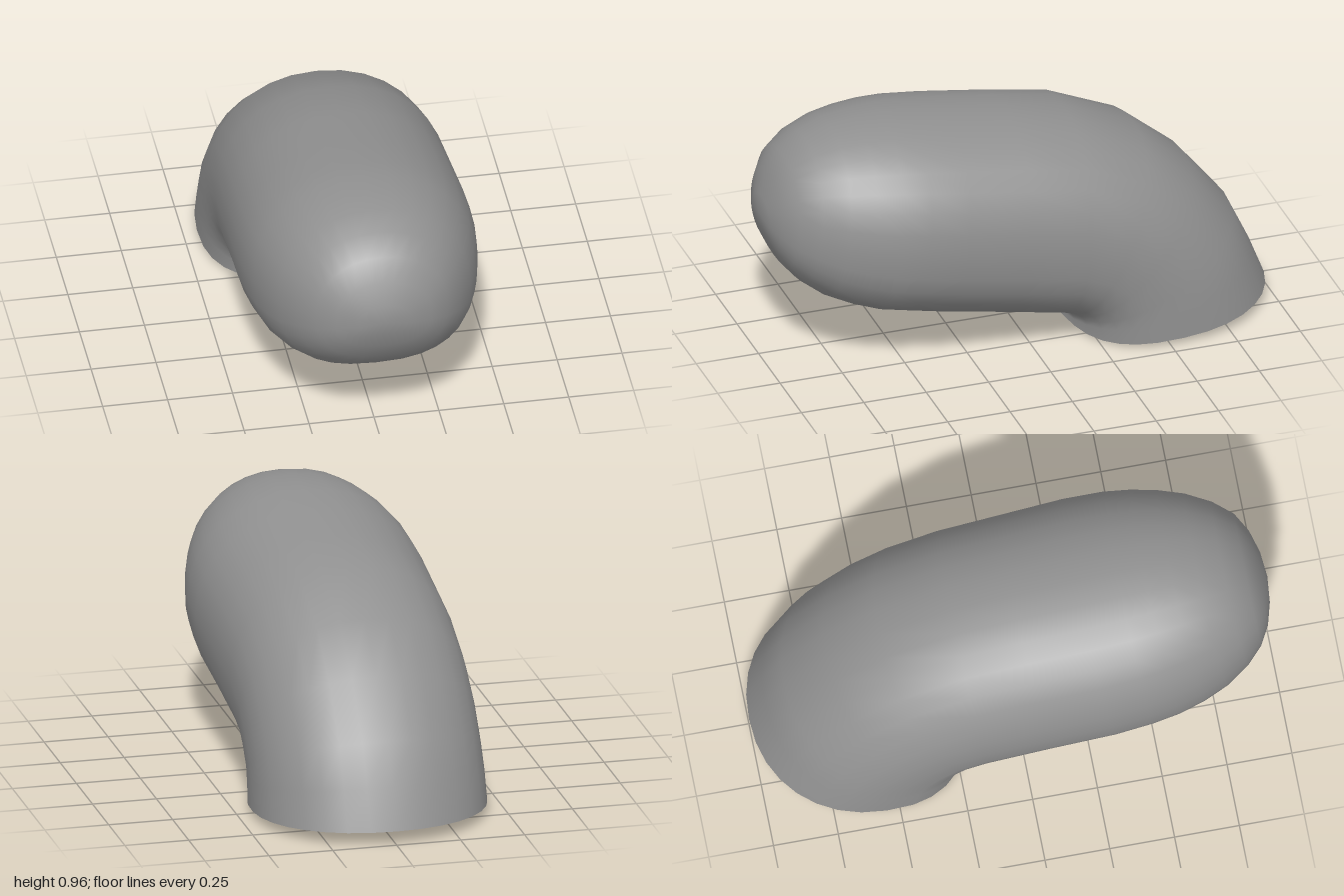
import * as THREE from 'three';

const SIDES = 32;
const GREY = 0x909090;

// Cross-sections from the open base to the tip: [topZ, topY, bottomZ, bottomY, halfWidth]
const SECTIONS = [
  [-1.0, 0.055, -0.17, -0.002, 0.45],
  [-0.94, 0.21, -0.172, 0.04, 0.448],
  [-0.865, 0.37, -0.17, 0.05, 0.445],
  [-0.7, 0.575, -0.166, 0.056, 0.445],
  [-0.5, 0.74, -0.16, 0.06, 0.444],
  [-0.22, 0.86, -0.14, 0.066, 0.446],
  [0.02, 0.9, 0.11, 0.116, 0.45],
  [0.26, 0.933, 0.36, 0.164, 0.456],
  [0.42, 0.952, 0.5, 0.192, 0.448],
  [0.52, 0.956, 0.61, 0.212, 0.432],
  [0.62, 0.951, 0.71, 0.246, 0.406],
  [0.72, 0.937, 0.8, 0.288, 0.37],
  [0.82, 0.903, 0.885, 0.352, 0.316],
  [0.905, 0.845, 0.94, 0.416, 0.255],
  [0.955, 0.76, 0.975, 0.487, 0.185],
  [0.988, 0.675, 0.993, 0.55, 0.1],
];
const TIP = [0, 0.61, 1];

const signedPow = (v, e) => Math.sign(v) * Math.pow(Math.abs(v), e);

// Skin the sections into one smooth tube with a closed tip
function bentTube() {
  const pos = [], index = [];
  SECTIONS.forEach(([tz, ty, bz, by, w], r) => {
    for (let s = 0; s < SIDES; s++) {
      const a = (s / SIDES) * Math.PI * 2;
      // the lower half is squarer, and the widest point sits below the middle
      const e = Math.cos(a) < 0 ? 0.8 : 0.93;
      const c = signedPow(Math.cos(a), e);
      const t = 0.46 + c * (c < 0 ? 0.46 : 0.54);
      // the base rim lifts a little at the front
      const lift = r === 0 ? 0.03 * Math.pow(Math.max(0, -c), 8) : 0;
      pos.push(w * signedPow(Math.sin(a), e), by + t * (ty - by) + lift, bz + t * (tz - bz));
    }
  });
  pos.push(...TIP);
  const last = SECTIONS.length - 1, tip = SECTIONS.length * SIDES;
  for (let r = 0; r <= last; r++) {
    for (let s = 0; s < SIDES; s++) {
      const a = r * SIDES + s, b = r * SIDES + (s + 1) % SIDES;
      if (r === last) index.push(a, tip, b);
      else index.push(a, a + SIDES, b, b, a + SIDES, b + SIDES);
    }
  }
  const g = new THREE.BufferGeometry();
  g.setAttribute('position', new THREE.Float32BufferAttribute(pos, 3));
  g.setIndex(index);
  g.computeVertexNormals();
  return g;
}

export function createModel() {
  const group = new THREE.Group();
  group.name = 'bentCapsule';

  // Hollow bent body, open underneath
  const body = new THREE.Mesh(
    bentTube(),
    new THREE.MeshStandardMaterial({ color: GREY, side: THREE.DoubleSide }),
  );
  body.name = 'body';
  group.add(body);

  // Small ball in the middle of the opening
  const ball = new THREE.Mesh(
    new THREE.SphereGeometry(0.025, 24, 16),
    new THREE.MeshStandardMaterial({ color: GREY }),
  );
  ball.name = 'pivotBall';
  ball.position.set(0, 0.025, -0.55);
  group.add(ball);

  return group;
}
